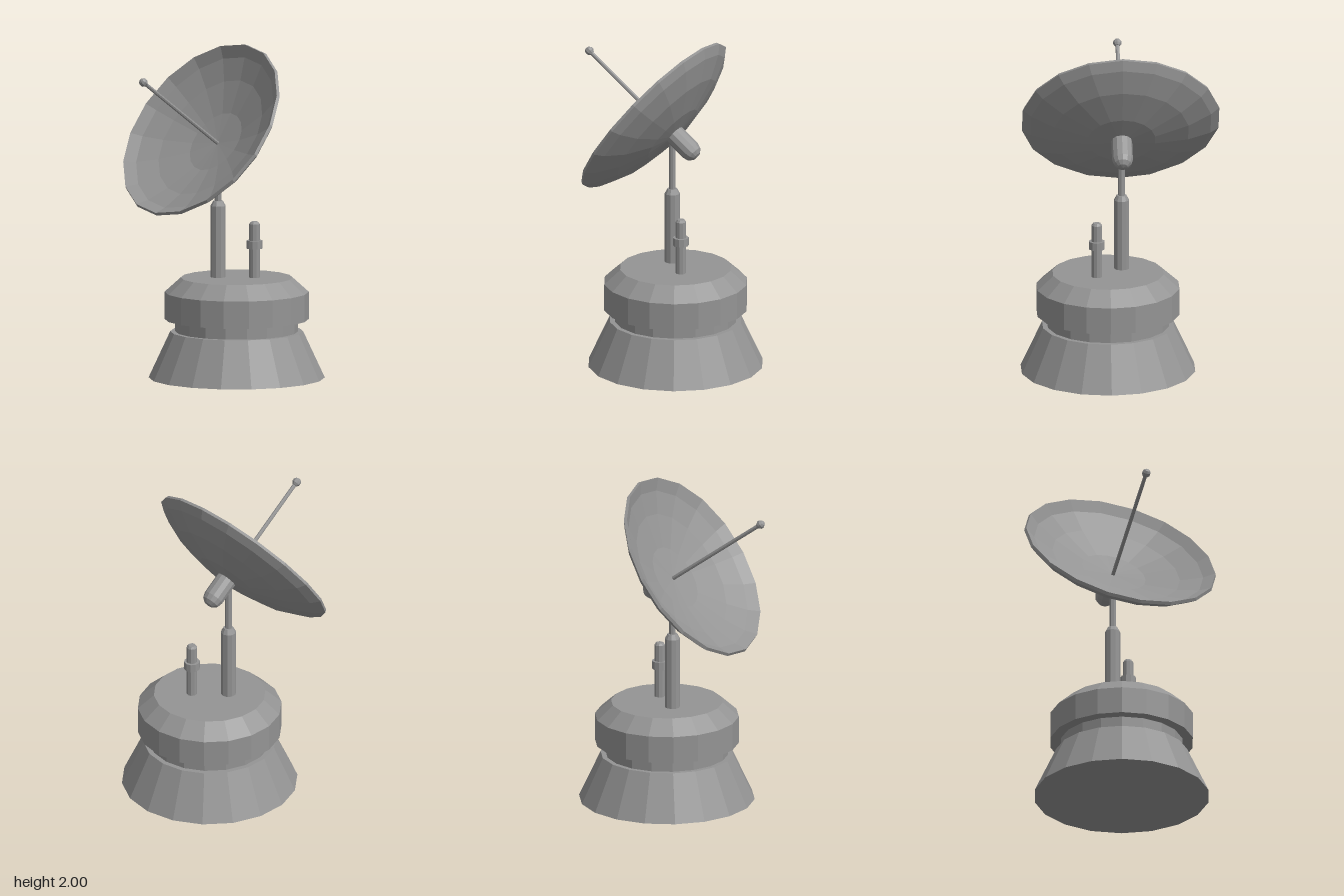
import * as THREE from 'three';

const material = new THREE.MeshStandardMaterial({ color: 0x949494, flatShading: true });

// Turned part: profile is [radius, height] pairs, running up the outside.
function turned(name, sides, profile, x = 0, z = 0) {
  const points = profile.map(([r, y]) => new THREE.Vector2(r, y));
  const mesh = new THREE.Mesh(new THREE.LatheGeometry(points, sides), material);
  mesh.name = name;
  mesh.position.set(x, 0, z);
  return mesh;
}

export function createModel() {
  const model = new THREE.Group();
  model.name = 'dishAntenna';

  // Pedestal: flared foot, recessed neck and bevelled drum
  const bx = 0.08, bz = -0.08;
  model.add(
    turned('foot', 18, [[0, 0], [0.53, 0], [0.4, 0.28], [0, 0.28]], bx, bz),
    turned('neck', 18, [[0.37, 0.27], [0.37, 0.365]], bx, bz),
    turned('drum', 18, [[0, 0.355], [0.434, 0.355], [0.434, 0.52], [0.337, 0.607], [0, 0.607]], bx, bz)
  );

  // Stepped mast carrying the dish
  const mx = -0.005, mz = -0.005;
  model.add(
    turned('mast', 10, [[0.046, 0.6], [0.046, 1.04], [0.03, 1.07], [0, 1.07]], mx, mz),
    turned('upperMast', 8, [[0.021, 1.06], [0.021, 1.4]], mx, mz)
  );

  // Short stub aerial with a collar
  const sx = 0.151, sz = -0.16;
  model.add(
    turned('stubAerial', 10, [[0.032, 0.6], [0.032, 0.932], [0.022, 0.946], [0, 0.946]], sx, sz),
    turned('stubCollar', 10, [[0.03, 0.783], [0.048, 0.783], [0.048, 0.832], [0.03, 0.832]], sx, sz)
  );

  // Tilted head: local +y is the pointing axis, origin at the rim centre
  const head = new THREE.Group();
  head.name = 'dishHead';
  head.position.set(mx, 1.512, 0.125);
  head.rotation.x = THREE.MathUtils.degToRad(54);
  model.add(head);

  head.add(turned('dish', 18, [
    [0, -0.182], [0.205, -0.163], [0.41, -0.111], [0.55, -0.046], [0.601, -0.004], // back
    [0.593, 0.014], // lip
    [0.53, -0.032], [0.4, -0.086], [0.2, -0.138], [0, -0.155] // bowl
  ]));

  // Feed rod and tip
  head.add(turned('feedRod', 8, [[0.012, -0.16], [0.012, 0.56]]));
  const tip = new THREE.Mesh(new THREE.SphereGeometry(0.027, 8, 5), material);
  tip.name = 'feedTip';
  tip.position.y = 0.56;
  head.add(tip);

  // Rounded drive housing behind the dish
  const drive = turned('driveHousing', 12,
    [[0, -0.372], [0.03, -0.366], [0.053, -0.346], [0.063, -0.312], [0.063, -0.172], [0, -0.172]]);
  drive.position.z = -0.008;
  head.add(drive);

  return model;
}
